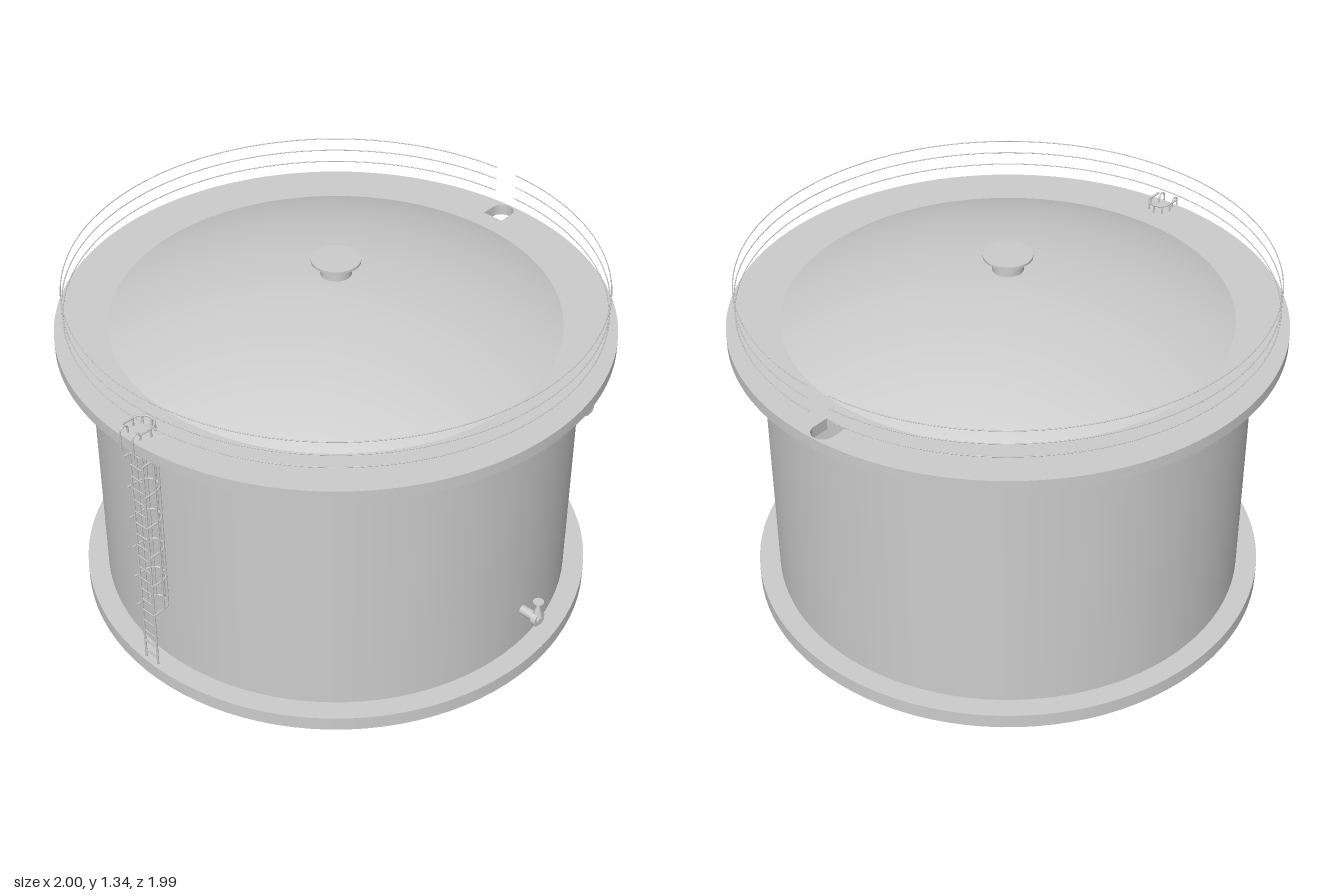
import * as THREE from 'three';
import { toCreasedNormals } from 'three/addons/utils/BufferGeometryUtils.js';

const SEG = 96;

export function createModel() {
  const model = new THREE.Group();
  const mat = new THREE.MeshStandardMaterial({ color: 0xcccccc });

  const add = (parent, name, geo, x = 0, y = 0, z = 0) => {
    const mesh = new THREE.Mesh(geo, mat);
    mesh.name = name;
    mesh.position.set(x, y, z);
    parent.add(mesh);
    return mesh;
  };
  const group = (name, x = 0, y = 0, z = 0) => {
    const g = new THREE.Group();
    g.name = name;
    g.position.set(x, y, z);
    model.add(g);
    return g;
  };
  // Upright cylinder between two heights
  const disc = (parent, name, r, y0, y1, seg = SEG, rTop = r) =>
    add(parent, name, new THREE.CylinderGeometry(rTop, r, y1 - y0, seg), 0, (y0 + y1) / 2, 0);
  // Thin round bar along a list of points
  const bar = (parent, name, pts, r) => {
    const path = new THREE.CurvePath();
    const v = pts.map(p => new THREE.Vector3(...p));
    for (let i = 1; i < v.length; i++) path.add(new THREE.LineCurve3(v[i - 1], v[i]));
    return add(parent, name, new THREE.TubeGeometry(path, pts.length === 2 ? 1 : 40, r, 6, false));
  };

  // Base slab and shell
  disc(model, 'base', 0.957, 0, 0.055);
  disc(model, 'tankWall', 0.879, 0.055, 1.07);

  // Walkway rim with a round-ended access hatch on the left
  const rim = new THREE.Shape().absarc(0, 0, 0.994, 0, Math.PI * 2, false);
  const hatch = new THREE.Path();
  hatch.moveTo(0.885, 0.043);
  hatch.lineTo(0.885, -0.043);
  hatch.lineTo(0.945, -0.043);
  hatch.absarc(0.945, 0, 0.043, -Math.PI / 2, Math.PI / 2, false);
  hatch.closePath();
  rim.holes.push(hatch);
  const rimGeo = new THREE.ExtrudeGeometry(rim, { depth: 0.043, bevelEnabled: false, curveSegments: SEG });
  rimGeo.rotateX(-Math.PI / 2);
  add(model, 'walkwayRim', toCreasedNormals(rimGeo, 0.5), 0, 1.07, 0);

  // Shallow spherical roof
  const roofR = 0.805, roofH = 0.168;
  const sphereR = (roofR * roofR + roofH * roofH) / (2 * roofH);
  const roofGeo = new THREE.SphereGeometry(sphereR, SEG, 20, 0, Math.PI * 2, 0, Math.asin(roofR / sphereR));
  add(model, 'domeRoof', roofGeo, 0, 1.113 + roofH - sphereR, 0);

  // Roof vent
  disc(model, 'ventNeck', 0.056, 1.26, 1.332, 32);
  disc(model, 'ventCap', 0.088, 1.33, 1.339, 48);

  // Handrails, open at the hatch
  const gap = 0.047;
  for (const y of [1.18, 1.23, 1.28]) {
    const rail = new THREE.TorusGeometry(0.957, 0.002, 6, 128, Math.PI * 2 - 2 * gap);
    rail.rotateZ(gap).rotateX(Math.PI / 2);
    add(model, 'handrail', rail, 0, y, 0);
  }

  // Caged ladder on the right
  const ladder = group('ladder');
  const railX = -0.968, cageX = -0.932, cageR = 0.043;
  for (const s of [-1, 1]) {
    const pts = [[railX, 0.1, s * 0.03], [railX, 1.13, s * 0.03]];
    bar(ladder, 'ladderRail', pts, 0.004);
    // hooked upper end
    const hook = [];
    for (let i = 0; i <= 8; i++) {
      const a = (i / 8) * Math.PI;
      hook.push([railX - 0.0165 + 0.0165 * Math.cos(a), 1.13 + 0.0165 * Math.sin(a), s * 0.03]);
    }
    hook.push([railX - 0.033, 1.05, s * 0.03]);
    bar(ladder, 'ladderHook', hook, 0.0035);
  }
  for (let y = 0.13; y < 1.12; y += 0.05) {
    bar(ladder, 'rung', [[railX, y, -0.03], [railX, y, 0.03]], 0.003);
  }
  for (let i = 0; i < 7; i++) {
    const y = 0.35 + i * 0.1325;
    const hoop = [[railX - 0.012, y, -cageR]];
    for (let k = 0; k <= 16; k++) {
      const a = (k / 16 - 0.5) * Math.PI;
      hoop.push([cageX + cageR * Math.cos(a), y, cageR * Math.sin(a)]);
    }
    hoop.push([railX - 0.012, y, cageR]);
    bar(ladder, 'cageHoop', hoop, 0.004);
  }
  for (let k = -2; k <= 2; k++) {
    const a = k * Math.PI / 4;
    const x = cageX + cageR * Math.cos(a), z = cageR * Math.sin(a);
    bar(ladder, 'cageBar', [[x, 0.35, z], [x, 1.145, z]], 0.004);
  }

  // Inlet and outlet valves on the front
  const valve = (name, x, y) => {
    const wall = Math.sqrt(0.879 ** 2 - x * x);
    const g = group(name, x, y, wall);
    const pipe = (part, r, z0, z1) =>
      add(g, part, new THREE.CylinderGeometry(r, r, z1 - z0, 24).rotateX(Math.PI / 2), 0, 0, (z0 + z1) / 2);
    pipe('pipe', 0.018, -0.03, 0.085);
    pipe('valveBody', 0.029, 0.058, 0.078);
    const top = group(name + 'Handle', x, y, wall + 0.068);
    disc(top, 'bonnet', 0.02, 0.01, 0.06, 16, 0.006);
    disc(top, 'stem', 0.004, 0.055, 0.078, 8);
    disc(top, 'handwheel', 0.02, 0.075, 0.08, 20);
  };
  valve('upperValve', 0.292, 0.988);
  valve('lowerValve', 0.034, 0.212);

  // Balance the ladder's overhang
  for (const part of model.children) part.position.x += 0.005;
  return model;
}
